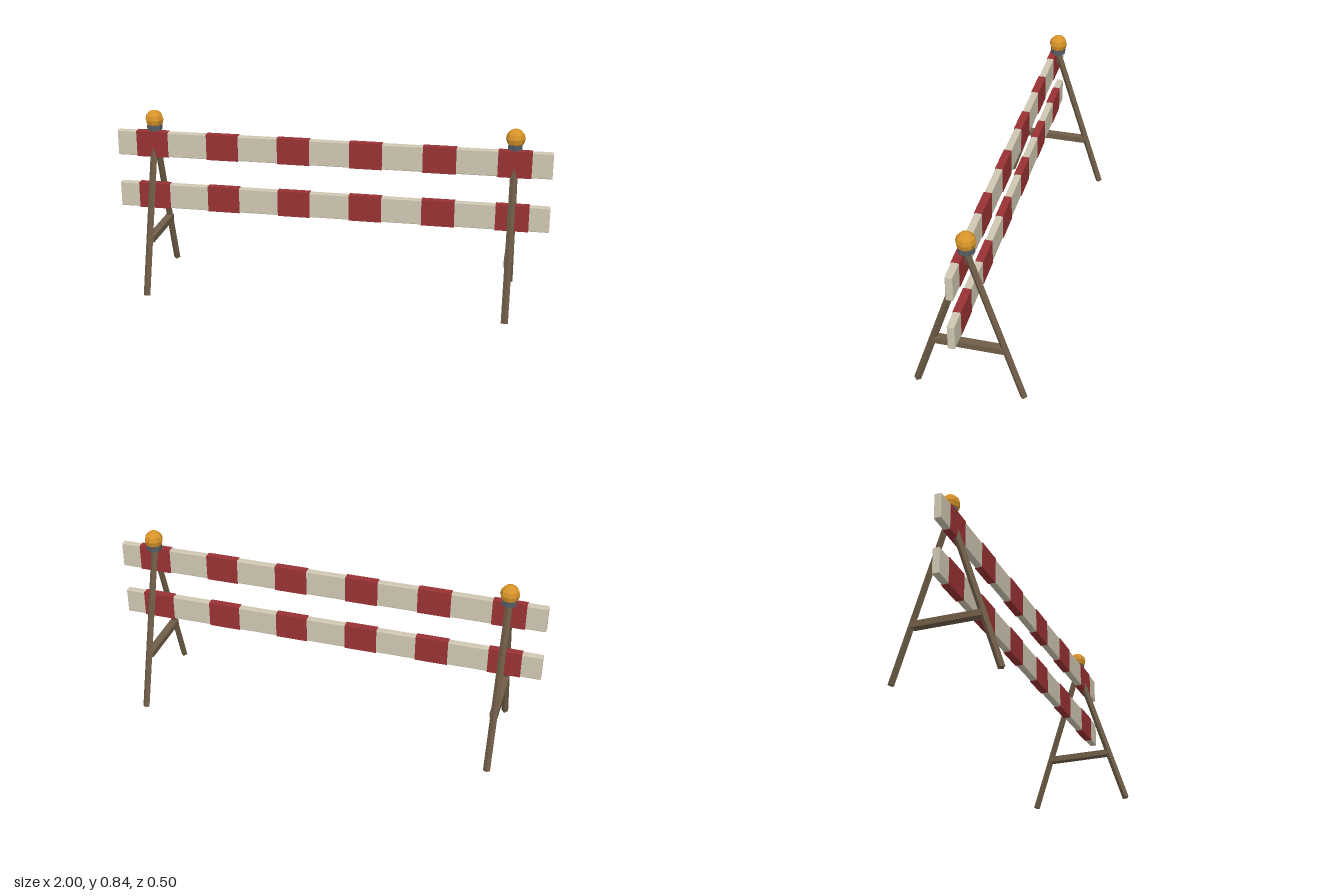
import * as THREE from 'three';
import { RoundedBoxGeometry } from 'three/addons/geometries/RoundedBoxGeometry.js';

const mat = (name, color) => {
  const m = new THREE.MeshStandardMaterial({ color, flatShading: true });
  m.name = name;
  return m;
};

export function createModel() {
  const wood = mat('wood', 0x6f5d47);
  const cream = mat('cream paint', 0xcfc6b1);
  const red = mat('red paint', 0x983234);
  const amber = mat('amber lens', 0xd8942a);
  const grey = mat('grey metal', 0x565c64);

  const model = new THREE.Group();
  model.name = 'roadBarrier';

  const add = (parent, name, geometry, material, x, y, z) => {
    const mesh = new THREE.Mesh(geometry, material);
    mesh.name = name;
    mesh.position.set(x, y, z);
    parent.add(mesh);
    return mesh;
  };

  // Striped rails: a bevelled board with red bands wrapped round it
  const railGeo = new RoundedBoxGeometry(2, 0.118, 0.032, 1, 0.004);
  const bandGeo = new THREE.BoxGeometry(0.15, 0.122, 0.035);
  for (const [name, y] of [['upperRail', 0.684], ['lowerRail', 0.431]]) {
    const rail = new THREE.Group();
    rail.name = name;
    model.add(rail);
    add(rail, 'board', railGeo, cream, 0, y, 0.0225);
    for (let i = 0; i < 6; i++) {
      add(rail, 'redBand', bandGeo, red, (i - 2.5) / 3, y, 0.0225);
    }
  }

  // A-frames at both ends, each with a warning lamp on top
  const footZ = 0.237, footY = 0.005, topY = 0.742;
  const legLength = Math.hypot(footZ, topY - footY);
  const legGeo = new THREE.CylinderGeometry(0.016, 0.016, legLength, 4);
  const lean = Math.atan2(footZ, topY - footY);

  for (const side of [-1, 1]) {
    const frame = new THREE.Group();
    frame.name = side > 0 ? 'leftFrame' : 'rightFrame';
    model.add(frame);
    const x = side * 0.83;

    for (const s of [1, -1]) {
      const leg = add(frame, s > 0 ? 'frontLeg' : 'backLeg', legGeo, wood,
        x, (topY + footY) / 2, s * footZ / 2);
      leg.rotation.x = -s * lean;
    }
    add(frame, 'crossbar', new THREE.BoxGeometry(0.036, 0.028, 0.31), wood,
      x - side * 0.002, 0.254, 0);

    // Hexagonal lamp base and faceted lens
    add(frame, 'lampBase', new THREE.CylinderGeometry(0.036, 0.036, 0.026, 6), grey, x, 0.757, 0);
    add(frame, 'lampLens', new THREE.SphereGeometry(0.0435, 8, 6), amber, x, 0.795, 0);
  }
  return model;
}
